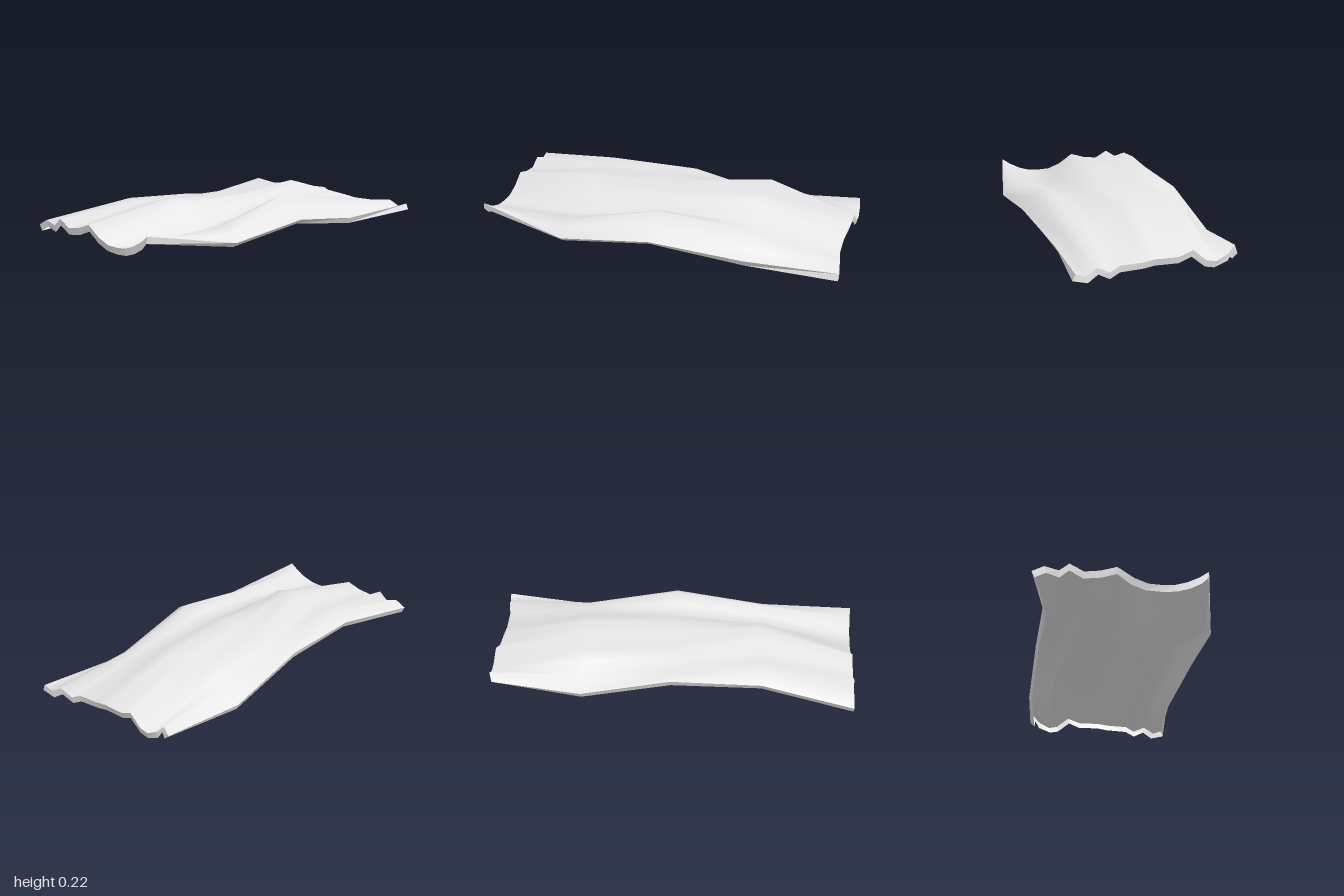
import * as THREE from 'three';

// Cross-sections from right to left: depth and upper height, front to back
const SECTIONS = [
  { z: [.345, .3, .24, .18, .12, .05, -.02, -.1, -.18, -.26, -.33, -.38, -.45, -.51],
    y: [.122, .09, .06, .042, .038, .042, .07, .125, .1, .09, .13, .09, .11, .08] },
  { z: [.47, .43, .37, .3, .23, .15, .08, 0, -.08, -.17, -.24, -.29, -.33, -.41],
    y: [.037, .08, .105, .088, .08, .13, .195, .215, .195, .18, .17, .175, .185, .14] },
  { z: [.485, .43, .35, .27, .22, .15, .08, 0, -.1, -.18, -.25, -.3, -.36, -.4],
    y: [.095, .165, .21, .18, .15, .175, .195, .18, .165, .17, .165, .16, .155, .145] },
  { z: [.45, .4, .34, .28, .22, .1, .02, -.05, -.15, -.23, -.26, -.29, -.34, -.39],
    y: [.04, .088, .13, .142, .147, .21, .22, .2, .185, .21, .16, .1, .07, .04] },
  { z: [.5, .45, .39, .32, .27, .15, .09, -.03, -.1, -.17, -.22, -.28, -.32, -.34],
    y: [.07, .05, .085, .05, .075, .077, .086, .087, .117, .06, .05, .08, .12, .07] },
];
const HEM = 0.036;
const ROWS = SECTIONS.length, COLS = SECTIONS[0].z.length;

// Sections lean towards the back on the right; the left edge ripples
function xAt(i, j) {
  if (i === ROWS - 1) return 0.985 + 0.015 * Math.cos(j * Math.PI / 5);
  return i / 2 - 1 + (3 - i) * 0.016 * j / (COLS - 1);
}

// Smooth wavy surface
function sheet() {
  const pos = [], index = [];
  SECTIONS.forEach((s, i) => {
    for (let j = 0; j < COLS; j++) pos.push(xAt(i, j), s.y[j], s.z[j]);
  });
  for (let i = 0; i < ROWS - 1; i++)
    for (let j = 0; j < COLS - 1; j++) {
      const a = i * COLS + j, b = a + COLS;
      index.push(a, b, b + 1, a, b + 1, a + 1);
    }
  const g = new THREE.BufferGeometry();
  g.setAttribute('position', new THREE.Float32BufferAttribute(pos, 3));
  g.setIndex(index);
  g.computeVertexNormals();
  return g;
}

// Narrow hem hanging from all four edges, square to the surface
function hem(surface) {
  const { position, normal } = surface.attributes;
  const last = (ROWS - 1) * COLS, loop = [], pos = [];
  for (let i = 0; i < ROWS - 1; i++) loop.push(i * COLS);
  for (let j = 0; j < COLS - 1; j++) loop.push(last + j);
  for (let i = ROWS - 1; i > 0; i--) loop.push(i * COLS + COLS - 1);
  for (let j = COLS - 1; j > 0; j--) loop.push(j);
  const upper = (k) => new THREE.Vector3().fromBufferAttribute(position, k);
  const lower = (k) => upper(k).addScaledVector(
    new THREE.Vector3().fromBufferAttribute(normal, k), -HEM);
  loop.forEach((p, k) => {
    const q = loop[(k + 1) % loop.length];
    for (const v of [lower(p), lower(q), upper(q), lower(p), upper(q), upper(p)])
      pos.push(v.x, v.y, v.z);
  });
  const g = new THREE.BufferGeometry();
  g.setAttribute('position', new THREE.Float32BufferAttribute(pos, 3));
  g.computeVertexNormals();
  return g;
}

export function createModel() {
  const cloth = new THREE.MeshStandardMaterial({ color: 0xe7e7e7, side: THREE.DoubleSide });
  cloth.name = 'light grey';
  const group = new THREE.Group();
  group.name = 'wavySheet';
  const add = (name, geometry) => {
    const mesh = new THREE.Mesh(geometry, cloth);
    mesh.name = name;
    group.add(mesh);
  };
  const surface = sheet();
  add('sheet', surface);
  add('hem', hem(surface));
  return group;
}
